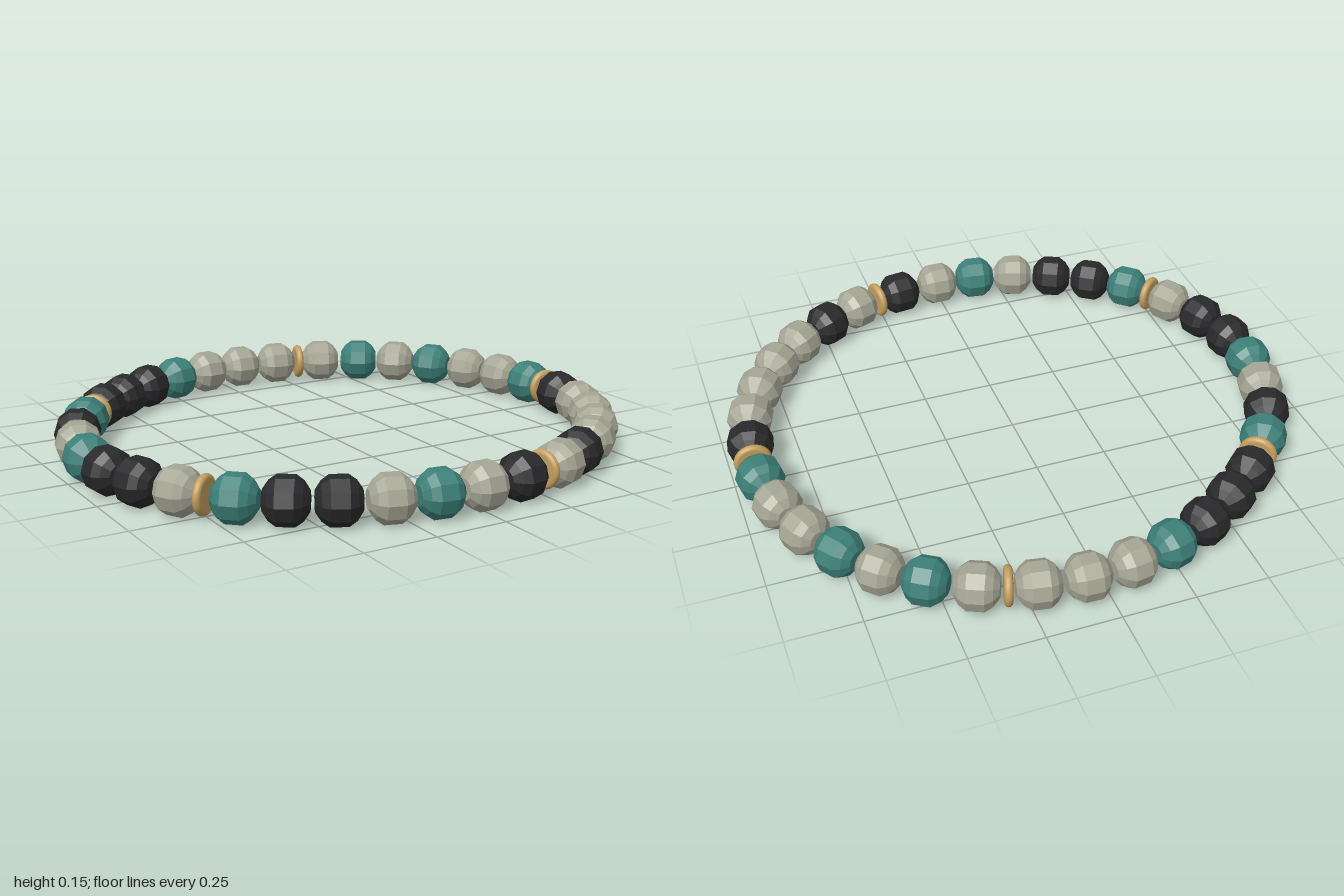
import * as THREE from 'three';

const HEIGHT = 0.077; // centre line of the ring of beads

// Order of the beads: S stone, T teal, K black, G gold spacer
const ORDER = 'SSGSTSTSSTGKSSSSKSGKSTSKKTGSKKTSKTGKKKTS';

// Bead centres (x, z) in hundredths, going round the slightly uneven loop
const CENTRES = [
  6.5, -87, 22, -85, 31, -82.5, 40, -79.5, 54, -72, 66, -62.5, 76, -50.5, 84, -37,
  89.5, -22, 92, -7, 92.5, 2.5, 91.5, 12, 88.5, 27, 82, 41.5, 73, 54.5, 62, 65.5,
  49, 74, 35.5, 81, 26.5, 83.5, 17, 85.5, 1, 87, -14.5, 86, -29.5, 82.5, -44, 76.5,
  -57.5, 68.5, -69.5, 59, -76, 51.5, -81, 44, -88, 30, -92, 14.5, -92.5, -1, -89.5, -16.5,
  -84.5, -31, -76.5, -44, -70.5, -51.5, -64, -58.5, -52, -68, -38.5, -76.5, -24, -82.5, -9, -86,
];

// Turned shape whose axis lies along x, the direction of the string
function turned(points, segments) {
  const profile = points.map(([r, y]) => new THREE.Vector2(r, y));
  return new THREE.LatheGeometry(profile, segments).rotateZ(Math.PI / 2);
}

// Faceted bead
function beadGeometry() {
  const half = [[0.079, 0.029], [0.061, 0.054], [0.034, 0.072], [0, 0.072]];
  const lower = half.map(([r, y]) => [r, -y]).reverse();
  const geometry = turned([...lower, ...half], 10).toNonIndexed();
  geometry.computeVertexNormals();
  return geometry;
}

// Smooth, thin spacer with a rounded rim
function spacerGeometry() {
  const points = [[0, -0.014]];
  for (let i = 0; i <= 8; i++) {
    const a = -Math.PI / 2 + (i / 8) * Math.PI;
    points.push([0.052 + 0.014 * Math.cos(a), 0.014 * Math.sin(a)]);
  }
  points.push([0, 0.014]);
  return turned(points, 24);
}

export function createModel() {
  const material = (name, color) => {
    const m = new THREE.MeshStandardMaterial({ color });
    m.name = name;
    return m;
  };
  const bead = beadGeometry();
  const kinds = {
    S: ['stoneBead', bead, material('stone grey', 0xa6a695)],
    T: ['tealBead', bead, material('teal', 0x3d8079)],
    K: ['blackBead', bead, material('black', 0x29292b)],
    G: ['goldSpacer', spacerGeometry(), material('gold', 0xc49f5f)],
  };

  const centres = [...ORDER].map((_, i) =>
    new THREE.Vector3(CENTRES[2 * i] / 100, HEIGHT, CENTRES[2 * i + 1] / 100));

  const bracelet = new THREE.Group();
  bracelet.name = 'bracelet';
  const n = centres.length;
  centres.forEach((p, i) => {
    const [name, geometry, mat] = kinds[ORDER[i]];
    const mesh = new THREE.Mesh(geometry, mat);
    mesh.name = name;
    mesh.position.copy(p);
    // Turn each bead along the string using its neighbours
    const t = centres[(i + 1) % n].clone().sub(centres[(i + n - 1) % n]);
    mesh.rotation.y = Math.atan2(-t.z, t.x);
    bracelet.add(mesh);
  });
  return bracelet;
}
